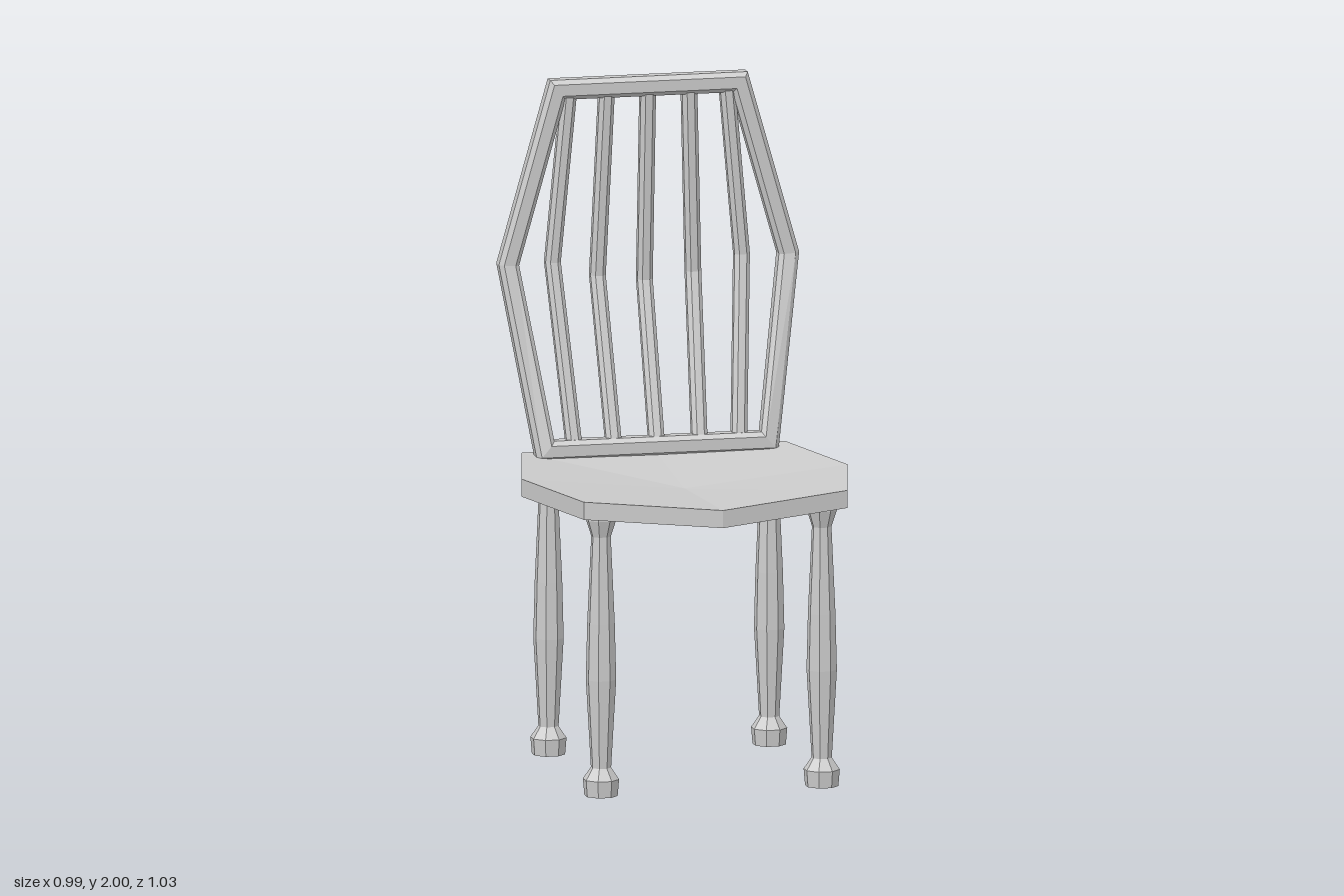
import * as THREE from 'three';

const material = new THREE.MeshStandardMaterial({ color: 0xcccccc, flatShading: true });

function makeGeometry(positions, indices) {
  const geometry = new THREE.BufferGeometry();
  geometry.setAttribute('position', new THREE.Float32BufferAttribute(positions, 3));
  geometry.setIndex(indices);
  geometry.computeVertexNormals();
  return geometry;
}

function addMesh(parent, geometry, name) {
  const mesh = new THREE.Mesh(geometry, material);
  mesh.name = name;
  parent.add(mesh);
  return mesh;
}

// Chamfered square bar along a path, mitred in x/y, with its depth kept along z.
function bar(path, half, chamfer, closed = false) {
  const inner = half - chamfer;
  const section = [
    [half, -inner], [half, inner], [inner, half], [-inner, half],
    [-half, inner], [-half, -inner], [-inner, -half], [inner, -half],
  ];
  const points = path.map((p) => new THREE.Vector3(...p));
  const count = points.length;
  const sides = section.length;
  const direction = (a, b) => new THREE.Vector2(b.x - a.x, b.y - a.y).normalize();
  const positions = [];
  const indices = [];
  points.forEach((p, i) => {
    const hasPrev = closed || i > 0;
    const hasNext = closed || i < count - 1;
    const next = hasNext ? direction(p, points[(i + 1) % count]) : null;
    const prev = hasPrev ? direction(points[(i + count - 1) % count], p) : next;
    const t = prev.clone().add(next ?? prev).normalize();
    const stretch = 1 / t.dot(prev);
    for (const [u, v] of section) {
      positions.push(p.x + t.y * u * stretch, p.y - t.x * u * stretch, p.z + v);
    }
  });
  for (let i = 0; i < (closed ? count : count - 1); i++) {
    for (let j = 0; j < sides; j++) {
      const k = (j + 1) % sides;
      const a = i * sides + j;
      const b = i * sides + k;
      const c = ((i + 1) % count) * sides + j;
      const d = ((i + 1) % count) * sides + k;
      indices.push(a, c, b, b, c, d);
    }
  }
  return makeGeometry(positions, indices);
}

// Eight-sided dished slab: two fans joined by a rim.
function seatGeometry() {
  const rim = [
    [0, 0.87, 0.515], [0.4, 0.895, 0.42], [0.495, 0.895, 0.025], [0.4, 0.895, -0.375],
    [0, 0.895, -0.41], [-0.4, 0.895, -0.375], [-0.495, 0.895, 0.025], [-0.4, 0.895, 0.42],
  ];
  const thickness = 0.053;
  const n = rim.length;
  const top = [[0, 0.845, 0.025], ...rim];
  const bottom = top.map(([x, y, z]) => [x, y - thickness, z]);
  const indices = [];
  for (let i = 0; i < n; i++) {
    const a = 1 + i;
    const b = 1 + ((i + 1) % n);
    const c = a + n + 1;
    const d = b + n + 1;
    indices.push(0, a, b, n + 1, d, c, a, c, b, b, c, d);
  }
  return makeGeometry([...top, ...bottom].flat(), indices);
}

// Turned leg: eight sides with a flat facing the front.
function legGeometry() {
  const profile = [
    [0, 0], [0.046, 0], [0.05, 0.05], [0.031, 0.08], [0.028, 0.085],
    [0.042, 0.35], [0.038, 0.52], [0.027, 0.78], [0.042, 0.83], [0.042, 0.855],
  ].map(([flat, y]) => new THREE.Vector2(flat / Math.cos(Math.PI / 8), y));
  return new THREE.LatheGeometry(profile, 8, Math.PI / 8);
}

export function createModel() {
  const chair = new THREE.Group();
  chair.name = 'chair';

  addMesh(chair, seatGeometry(), 'seat');

  // Legs
  const leg = legGeometry();
  for (const [z, end] of [[0.365, 'front'], [-0.305, 'back']]) {
    for (const [side, label] of [[1, 'Left'], [-1, 'Right']]) {
      addMesh(chair, leg, `${end}${label}Leg`).position.set(side * 0.335, 0, z);
    }
  }

  // Back frame: one closed loop, leaning back up to the knee and upright above it
  const back = new THREE.Group();
  back.name = 'backrest';
  chair.add(back);
  const frame = [
    [0.34, 0.907, -0.333], [0.425, 1.45, -0.447], [0.277, 1.97, -0.447],
    [-0.277, 1.97, -0.447], [-0.425, 1.45, -0.447], [-0.34, 0.907, -0.333],
  ];
  addMesh(back, bar(frame, 0.03, 0.013, true), 'backFrame');

  // Spindles: bottom x, knee [x, y, z], top x
  const spindles = [
    [0, [0, 1.38, -0.49], 0],
    [0.13, [0.145, 1.4, -0.48], 0.125],
    [0.25, [0.287, 1.45, -0.457], 0.24],
  ];
  for (const [bottomX, [x, y, z], topX] of spindles) {
    for (const side of x === 0 ? [1] : [1, -1]) {
      const path = [
        [side * bottomX, 0.915, -0.335], [side * x, y, z], [side * topX, 1.96, -0.447],
      ];
      addMesh(back, bar(path, 0.023, 0.012), 'spindle');
    }
  }

  return chair;
}
